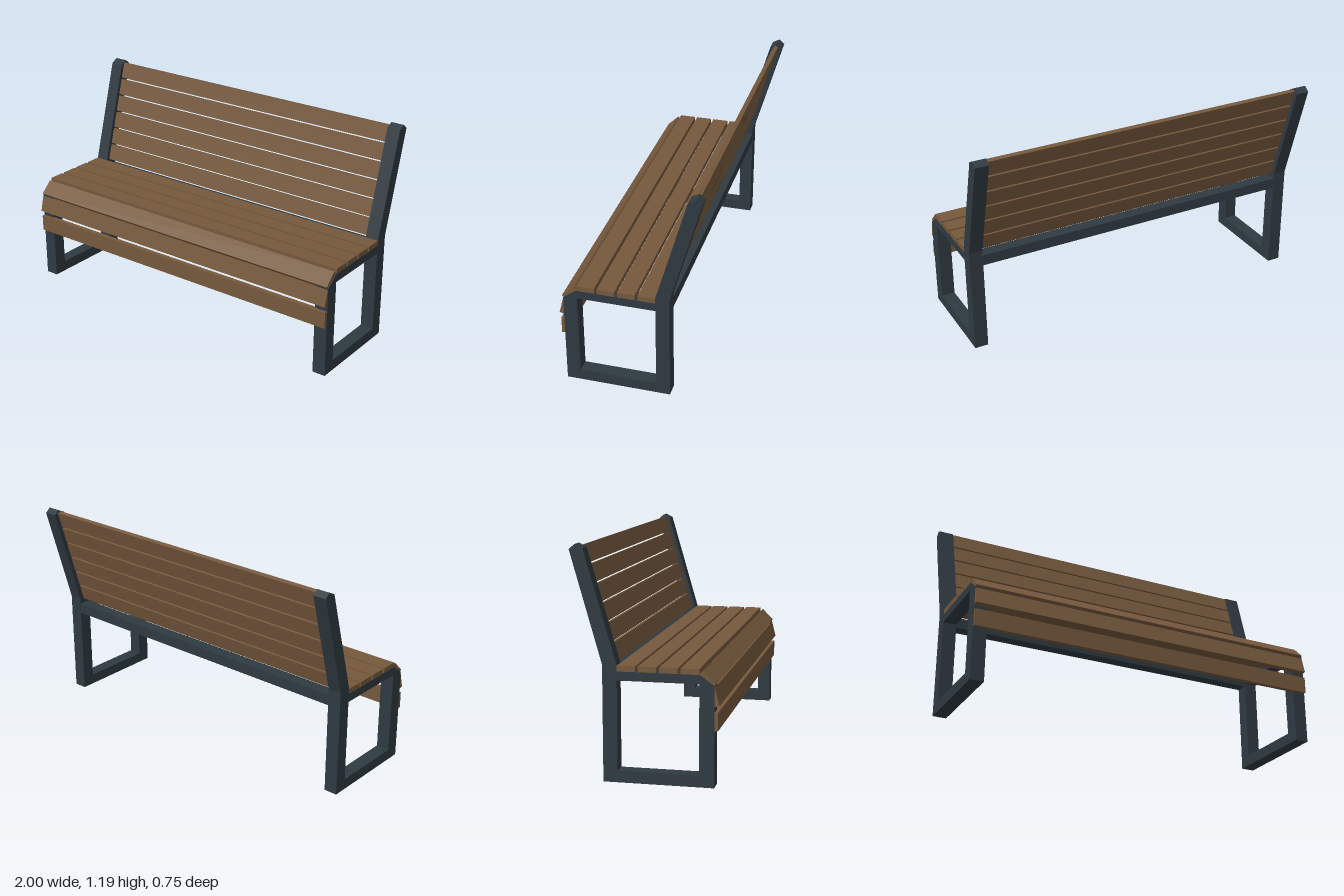
import * as THREE from 'three';

export function createModel() {
  const model = new THREE.Group();
  model.name = 'bench';

  const wood = new THREE.MeshStandardMaterial({ color: 0x76593d });
  wood.name = 'brown wood';
  const steel = new THREE.MeshStandardMaterial({ color: 0x2f3a41 });
  steel.name = 'dark steel';

  // Side frames: closed leg loop with a chamfered front and a leaning back post, as [z, y]
  const outline = [
    [0.35, 0], [0.35, 0.513], [0.278, 0.566], [-0.14, 0.566], [-0.14, 0.597],
    [-0.306, 1.17], [-0.346, 1.19], [-0.376, 1.165], [-0.214, 0.597], [-0.214, 0],
  ];
  const opening = [[0.275, 0.06], [-0.14, 0.06], [-0.14, 0.52], [0.275, 0.52]];
  const points = (list) => list.map(([z, y]) => new THREE.Vector2(z, y));
  const frameShape = new THREE.Shape(points(outline));
  frameShape.holes.push(new THREE.Path(points(opening)));
  const width = 0.075;
  const frameGeometry = new THREE.ExtrudeGeometry(frameShape, { depth: width, bevelEnabled: false });
  frameGeometry.rotateY(-Math.PI / 2).translate(width / 2, 0, 0);
  for (const [name, side] of [['leftFrame', 1], ['rightFrame', -1]]) {
    const frame = new THREE.Mesh(frameGeometry, steel);
    frame.name = name;
    frame.position.x = side * (1 - width / 2);
    model.add(frame);
  }

  // Rear beam joining the frames
  const beam = new THREE.Mesh(new THREE.BoxGeometry(1.85, 0.06, 0.068), steel);
  beam.name = 'rearBeam';
  beam.position.set(0, 0.534, -0.178);
  model.add(beam);

  // A slat whose outer face runs from a to b (as [z, y]), with its thickness inward
  function addSlat(name, length, a, b, thickness) {
    const dz = b[0] - a[0], dy = b[1] - a[1];
    const span = Math.hypot(dz, dy);
    const slat = new THREE.Mesh(new THREE.BoxGeometry(length, thickness, span), wood);
    slat.name = name;
    slat.rotation.x = Math.atan2(-dy, dz);
    slat.position.set(
      0,
      (a[1] + b[1]) / 2 - (dz / span) * thickness / 2,
      (a[0] + b[0]) / 2 + (dy / span) * thickness / 2,
    );
    model.add(slat);
  }

  // Flat seat slats
  for (let i = 0; i < 4; i++) {
    const z = -0.14 + i * 0.1073;
    addSlat(`seatSlat${i + 1}`, 2, [z, 0.595], [z + 0.093, 0.595], 0.029);
  }

  // Slats curving down over the front edge
  addSlat('edgeSlat', 1.992, [0.292, 0.586], [0.358, 0.522], 0.026);
  addSlat('tiltedFrontSlat', 1.996, [0.352, 0.506], [0.375, 0.415], 0.026);
  addSlat('lowerFrontSlat', 1.996, [0.368, 0.381], [0.368, 0.289], 0.028);

  // Backrest slats, stepping down along the lean of the posts
  const lean = [0.277, -0.961];
  for (let i = 0; i < 6; i++) {
    const at = (s) => [-0.329 + lean[0] * s, 1.179 + lean[1] * s];
    const start = i * 0.1025;
    addSlat(`backSlat${i + 1}`, 1.85, at(start), at(start + 0.093), 0.024);
  }

  return model;
}
